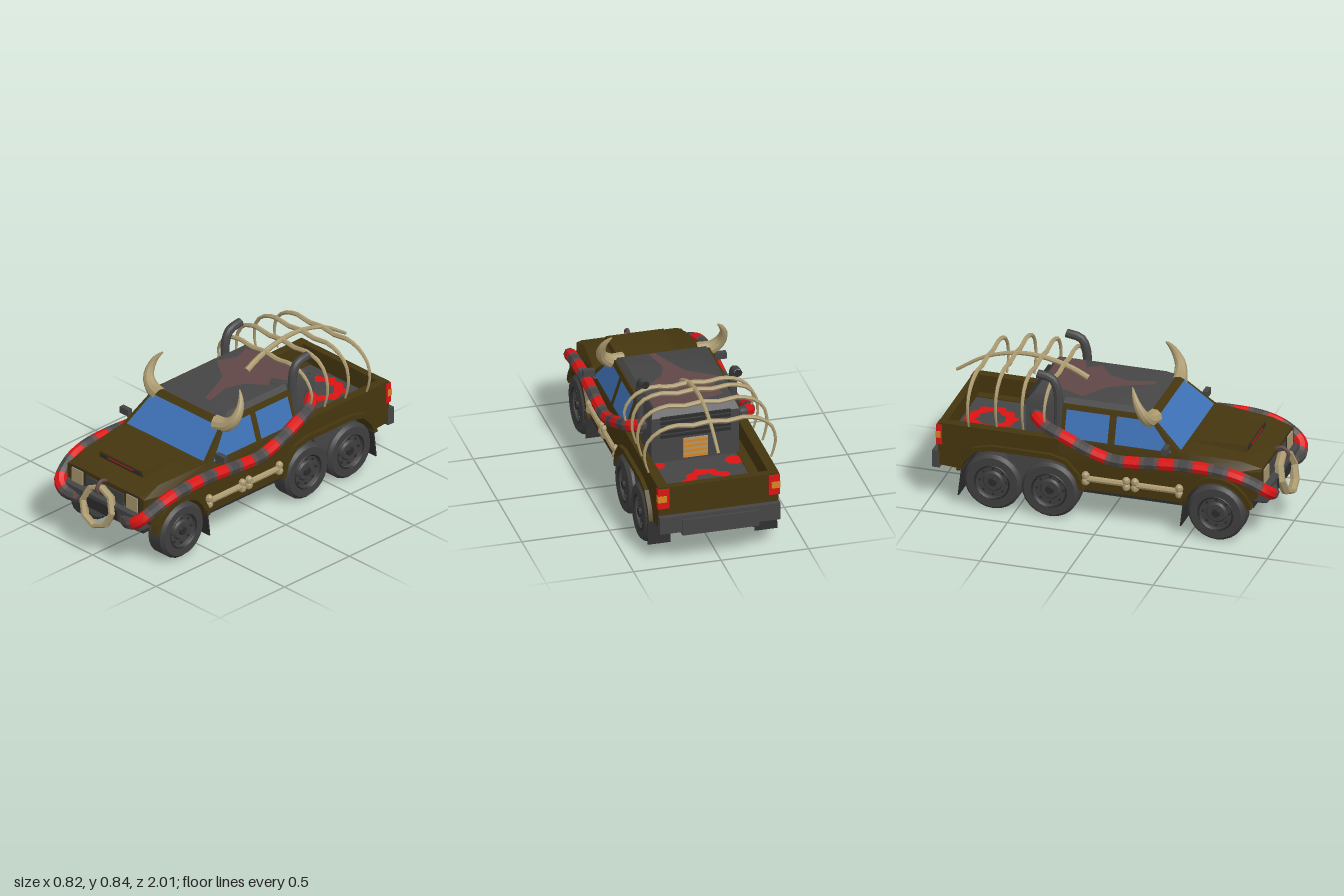
import * as THREE from 'three';
import { toCreasedNormals } from 'three/addons/utils/BufferGeometryUtils.js';

const V = (p) => new THREE.Vector3(...p);
const mat = (name, color, side = THREE.FrontSide) => {
  const m = new THREE.MeshStandardMaterial({ color, side });
  m.name = name;
  return m;
};

export function createModel() {
  const root = new THREE.Group();
  root.name = 'sixWheelTruck';
  const olive = mat('olive paint', 0x45360f), grey = mat('dark grey', 0x454545), black = mat('black', 0x2c2c2c);
  const rubber = mat('rubber', 0x3f3f3f), glass = mat('blue glass', 0x3d70b4, THREE.DoubleSide);
  const red = mat('red', 0xdc1414, THREE.DoubleSide), bone = mat('bone', 0xab9a70);
  const stain = mat('dried stain', 0x604747, THREE.DoubleSide), orange = mat('orange', 0xd88420);

  const add = (name, geo, m) => {
    const mesh = new THREE.Mesh(toCreasedNormals(geo, 0.5), m);
    mesh.name = name;
    root.add(mesh);
    return mesh;
  };
  // Box from its bounds
  const box = (name, m, x0, x1, y0, y1, z0, z1) =>
    add(name, new THREE.BoxGeometry(Math.abs(x1 - x0), y1 - y0, z1 - z0)
      .translate((x0 + x1) / 2, (y0 + y1) / 2, (z0 + z1) / 2), m);
  // Closed solid through equal-length rings of points
  const loft = (name, m, rings) => {
    const out = [], n = rings[0].length;
    const tri = (...ps) => ps.forEach((p) => out.push(...p));
    for (let i = 0; i + 1 < rings.length; i++) for (let j = 0; j < n; j++) {
      const k = (j + 1) % n, A = rings[i], B = rings[i + 1];
      tri(A[j], A[k], B[j]);
      tri(A[k], B[k], B[j]);
    }
    const first = rings[0], last = rings[rings.length - 1];
    for (let j = 1; j + 1 < n; j++) {
      tri(first[0], first[j + 1], first[j]);
      tri(last[0], last[j], last[j + 1]);
    }
    const g = new THREE.BufferGeometry();
    g.setAttribute('position', new THREE.Float32BufferAttribute(out, 3));
    return add(name, g, m);
  };
  // Rectangular ring at height y, for lofts going up
  const level = (y, w, zf, zb) => [[w, y, zf], [w, y, zb], [-w, y, zb], [-w, y, zf]];
  // Flat plate through four corners
  const plate = (name, m, pts) => {
    const g = new THREE.BufferGeometry().setFromPoints([0, 1, 2, 0, 2, 3].map((i) => V(pts[i])));
    return add(name, g, m);
  };
  // Tube with a radius that may vary along the path
  const tubeGeo = (pts, r, n = 12, sides = 8) => {
    const curve = new THREE.CatmullRomCurve3(pts.map(V));
    const g = new THREE.TubeGeometry(curve, n, 1, sides), pos = g.attributes.position;
    for (let i = 0; i < pos.count; i++) {
      const t = Math.floor(i / (sides + 1)) / n, c = curve.getPointAt(t);
      const v = new THREE.Vector3().fromBufferAttribute(pos, i).sub(c);
      v.multiplyScalar(typeof r === 'number' ? r : r(t)).add(c);
      pos.setXYZ(i, v.x, v.y, v.z);
    }
    return g;
  };
  // Side outline in (z, y), extruded from xi to xo on side s
  const sidePanel = (name, m, shape, xi, xo, s) =>
    add(name, new THREE.ExtrudeGeometry(shape, { depth: xo - xi, bevelEnabled: false, curveSegments: 12 })
      .rotateY(-Math.PI / 2).translate(s > 0 ? xo : -xi, 0, 0), m);
  const ground = (name, m, pts, y, hole) => {
    const sh = new THREE.Shape(pts.map(([x, z]) => new THREE.Vector2(x, -z)));
    if (hole) sh.holes.push(new THREE.Path(hole.map(([x, z]) => new THREE.Vector2(x, -z))));
    add(name, new THREE.ShapeGeometry(sh).rotateX(-Math.PI / 2).translate(0, y, 0), m);
  };

  // Chassis and inner body
  box('chassis', black, -0.235, 0.235, 0.165, 0.35, -0.9, 0.84);
  box('nose', olive, -0.29, 0.29, 0.25, 0.37, 0.8, 0.893);
  loft('upperBody', olive, [
    [-0.25, 0.345, 0.475, 0.335], [0.45, 0.345, 0.488, 0.325], [0.78, 0.33, 0.467, 0.29], [0.9, 0.3, 0.43, 0.27],
  ].map(([z, wb, yt, wt]) => [[wb, 0.35, z], [wb, 0.42, z], [wt, yt, z], [-wt, yt, z], [-wb, 0.42, z], [-wb, 0.35, z]]));

  // Hood scoop
  loft('hoodScoop', olive, [[0.45, 0.49], [0.6, 0.502], [0.78, 0.503]].map(([z, y]) =>
    [[0.18, 0.45, z], [0.165, y, z], [-0.165, y, z], [-0.18, 0.45, z]]));
  box('scoopSlot', black, -0.155, 0.155, 0.474, 0.496, 0.778, 0.784);
  box('scoopStain', red, -0.1, 0.1, 0.484, 0.49, 0.78, 0.786);

  // Cab, roof and the box behind it
  loft('cab', olive, [level(0.47, 0.335, 0.46, -0.25), level(0.66, 0.272, 0.25, -0.25)]);
  loft('roof', grey, [level(0.655, 0.265, 0.25, -0.25), level(0.686, 0.235, 0.19, -0.25)]);
  loft('rearBox', grey, [level(0.36, 0.25, -0.2, -0.47), level(0.64, 0.25, -0.2, -0.47), level(0.688, 0.23, -0.2, -0.43)]);
  for (let i = 0; i < 5; i++) box('louver', black, -0.2, 0.2, 0.52 + i * 0.028, 0.534 + i * 0.028, -0.484, -0.468);
  box('boxVent', bone, -0.07, 0.07, 0.38, 0.5, -0.478, -0.469);
  for (let i = 0; i < 4; i++) box('ventBar', orange, -0.07, 0.07, 0.385 + i * 0.03, 0.4 + i * 0.03, -0.481, -0.474);

  // Windows
  const wx = (y) => 0.339 - (y - 0.47) * 0.063 / 0.19, wz = (y) => 0.465 - (y - 0.47) * 0.21 / 0.19;
  plate('windshield', glass, [[-0.302, 0.492, wz(0.492)], [0.302, 0.492, wz(0.492)],
    [0.262, 0.635, wz(0.635)], [-0.262, 0.635, wz(0.635)]]);

  // Front end
  box('grille', grey, -0.147, 0.147, 0.32, 0.403, 0.89, 0.906);
  loft('frontBumper', grey, [level(0.21, 0.25, 0.9, 0.8), level(0.25, 0.315, 0.945, 0.83), level(0.33, 0.315, 0.945, 0.83)]);
  box('bumperInset', black, -0.14, 0.14, 0.25, 0.31, 0.94, 0.95);
  add('boneRing', new THREE.TorusGeometry(0.114, 0.016, 6, 8).scale(1, 1, 1.8).rotateX(-0.25).translate(0, 0.29, 0.958), bone);
  add('ringHook', tubeGeo([[0, 0.37, 0.9], [0, 0.42, 0.89], [0, 0.44, 0.93], [0, 0.41, 0.965], [0, 0.375, 0.96]], 0.011), stain);

  // Bed, tailgate and rear bumper
  box('bedFloor', grey, -0.29, 0.29, 0.335, 0.365, -0.92, -0.25);
  box('tailgate', olive, -0.335, 0.335, 0.22, 0.472, -0.952, -0.91);
  box('rearBumper', grey, -0.345, 0.345, 0.2, 0.3, -0.985, -0.94);
  box('bumperStep', grey, -0.22, 0.22, 0.185, 0.28, -1, -0.96);

  // Wheel arches cut into the lower side outline
  const lower = new THREE.Shape();
  lower.moveTo(0.89, 0.37);
  lower.lineTo(0.89, 0.28);
  lower.lineTo(0.843, 0.24);
  lower.absarc(0.66, 0.165, 0.187, 0.4, Math.PI - 0.15, false);
  [[0.47, 0.19], [-0.13, 0.19], [-0.155, 0.27], [-0.215, 0.34], [-0.3, 0.357], [-0.63, 0.357], [-0.73, 0.335],
    [-0.79, 0.27], [-0.815, 0.21], [-0.95, 0.22], [-0.95, 0.37]].forEach((p) => lower.lineTo(...p));
  const flare = new THREE.Shape();
  flare.absarc(0.66, 0.165, 0.212, 0.25, Math.PI - 0.1, false);
  flare.absarc(0.66, 0.165, 0.182, Math.PI - 0.1, 0.25, true);
  const rearFlare = new THREE.Shape([[-0.105, 0.19], [-0.13, 0.28], [-0.205, 0.362], [-0.3, 0.385], [-0.64, 0.385], [-0.745, 0.358],
    [-0.815, 0.28], [-0.84, 0.21], [-0.815, 0.21], [-0.79, 0.27], [-0.73, 0.335], [-0.63, 0.357], [-0.3, 0.357], [-0.215, 0.34],
    [-0.155, 0.27], [-0.13, 0.19]].map((p) => new THREE.Vector2(...p)));
  const between = new THREE.Shape([[-0.36, 0.355], [-0.57, 0.355], [-0.465, 0.16]].map((p) => new THREE.Vector2(...p)));

  // One wheel: tyre with a recessed rim, dark ring, hub and lugs
  const wheel = (s, z) => {
    const profile = [[0, -0.063], [0.145, -0.063], [0.165, -0.045], [0.165, 0.045], [0.148, 0.064], [0.105, 0.064],
      [0.095, 0.04], [0.06, 0.04], [0.05, 0.052], [0, 0.052]].map((p) => new THREE.Vector2(...p));
    const put = (name, g, m) => add(name, g.rotateZ(-s * Math.PI / 2).translate(s * 0.306, 0.165, z), m);
    put('wheel', new THREE.LatheGeometry(profile, 24), rubber);
    put('rimRing', new THREE.TorusGeometry(0.1, 0.007, 4, 24).rotateX(Math.PI / 2).translate(0, 0.06, 0), black);
    put('hub', new THREE.CylinderGeometry(0.022, 0.028, 0.02, 10).translate(0, 0.056, 0), black);
    for (let i = 0; i < 8; i++) {
      const a = i * Math.PI / 4;
      put('lug', new THREE.CylinderGeometry(0.008, 0.008, 0.012, 6).translate(0.077 * Math.cos(a), 0.043, 0.077 * Math.sin(a)), black);
    }
  };

  for (const s of [1, -1]) {
    const m = (pts) => pts.map(([x, y, z]) => [s * x, y, z]);
    sidePanel('lowerSide', olive, lower, 0.235, 0.343, s);
    sidePanel('frontFlare', olive, flare, 0.32, 0.365, s);
    sidePanel('rearFlare', olive, rearFlare, 0.32, 0.368, s);
    sidePanel('wheelWell', grey, between, 0.23, 0.335, s);
    box('bedSide', olive, s * 0.29, s * 0.345, 0.36, 0.475, -0.95, -0.25);
    box('sill', black, s * 0.22, s * 0.335, 0.17, 0.2, -0.12, 0.47);
    [0.66, -0.3, -0.63].forEach((z) => wheel(s, z));
    for (const z of [0.468, -0.815]) {
      const flap = box('mudFlap', black, -0.065, 0.065, -0.08, 0.08, -0.004, 0.004);
      flap.position.set(s * 0.305, 0.14, z);
      flap.rotation.x = 0.12;
    }

    // Side windows, mirrors and lights
    [[[0.395, 0.485], [0.065, 0.485], [0.065, 0.635], [0.262, 0.635]], [[0.025, 0.485], [-0.225, 0.485], [-0.225, 0.635], [0.025, 0.635]]]
      .forEach((w) => plate('sideWindow', glass, m(w.map(([z, y]) => [wx(y), y, z]))));
    box('mirror', grey, s * 0.342, s * 0.41, 0.498, 0.536, 0.36, 0.39);
    add('mirrorArm', tubeGeo(m([[0.31, 0.47, 0.37], [0.345, 0.48, 0.375], [0.37, 0.51, 0.375]]), 0.008, 6, 6), grey);
    box('headlightFrame', black, s * 0.165, s * 0.265, 0.325, 0.424, 0.89, 0.902);
    box('headlight', bone, s * 0.172, s * 0.258, 0.332, 0.417, 0.89, 0.909);
    box('bumperPocket', black, s * 0.17, s * 0.28, 0.25, 0.3, 0.94, 0.948);
    box('tailLight', red, s * 0.285, s * 0.349, 0.345, 0.465, -0.96, -0.925);
    box('turnLight', orange, s * 0.3, s * 0.351, 0.385, 0.425, -0.963, -0.935);

    // Horns and exhaust stacks
    add('horn', tubeGeo(m([[0.22, 0.628, 0.26], [0.29, 0.643, 0.25], [0.34, 0.69, 0.235], [0.348, 0.75, 0.205],
      [0.33, 0.8, 0.18], [0.3, 0.835, 0.16]]), (t) => 0.046 * (1 - t) ** 0.8 + 0.003, 12, 10), bone);
    add('exhaustStack', tubeGeo(m([[0.265, 0.47, -0.28], [0.265, 0.6, -0.28], [0.265, 0.74, -0.285], [0.265, 0.8, -0.315],
      [0.265, 0.82, -0.4]]), 0.025, 14, 10), grey);
    add('stackMouth', new THREE.CircleGeometry(0.024, 10).rotateY(Math.PI).translate(s * 0.265, 0.82, -0.398), black);

    // Banded side tube
    const path = m([[0.18, 0.27, 0.925], [0.25, 0.28, 0.955], [0.315, 0.32, 0.94], [0.35, 0.38, 0.85], [0.365, 0.42, 0.72],
      [0.368, 0.432, 0.5], [0.368, 0.408, 0.18], [0.368, 0.405, 0.08], [0.368, 0.44, -0.06], [0.365, 0.5, -0.2],
      [0.34, 0.55, -0.34], [0.29, 0.575, -0.4]]);
    const bands = tubeGeo(path, 0.036, 56);
    for (let i = 0; i < 56; i++) bands.addGroup(i * 48, 48, [0, 0, 0, 1, 2, 2, 1][(i + 3) % 7]);
    add('sideTube', bands, [red, stain, grey]);
    [path[0], path[path.length - 1]].forEach((p) => add('tubeEnd', new THREE.SphereGeometry(0.036, 8, 6).translate(...p), grey));

    // Bones along the sill
    for (const [z0, z1] of [[0.19, 0.445], [-0.095, 0.14]]) {
      add('sillBone', new THREE.CylinderGeometry(0.018, 0.018, z1 - z0, 8).rotateX(Math.PI / 2)
        .translate(s * 0.35, 0.262, (z0 + z1) / 2), bone);
      for (const z of [z0, z1]) for (const d of [-0.018, 0.018])
        add('boneKnob', new THREE.SphereGeometry(0.024, 8, 6).translate(s * 0.35, 0.262 + d, z), bone);
    }
  }

  // Rib cage over the bed
  add('spine', tubeGeo([[0, 0.7, -0.19], [0, 0.745, -0.28], [0, 0.785, -0.42], [0, 0.795, -0.58], [0, 0.745, -0.78],
    [0, 0.64, -0.95]], (t) => 0.017 - 0.008 * t, 16), bone);
  for (const [z, y, w, end] of [[-0.33, 0.765, 0.37, 0.55], [-0.46, 0.79, 0.36, 0.5], [-0.61, 0.79, 0.37, 0.5], [-0.77, 0.75, 0.375, 0.48]]) {
    const half = [[0.1, y - 0.012], [0.2, y], [0.3, y - 0.03], [w - 0.015, y - 0.09], [w, (y - 0.09 + end) / 2], [w - 0.025, end]];
    const pts = [...half.map(([x, h]) => [-x, h, z]).reverse(), [0, y, z], ...half.map(([x, h]) => [x, h, z])];
    add('rib', tubeGeo(pts, (t) => 0.006 + 0.008 * Math.sin(Math.PI * t), 24, 6), bone);
  }

  // Stains on the roof and bed floor
  ground('roofStain', stain, [[-0.19, -0.37], [0, -0.42], [0.22, -0.43], [0.22, -0.28], [0.14, -0.24], [0.19, -0.17], [0.09, -0.09],
    [0.05, 0.02], [0.09, 0.18], [0.05, 0.18], [0, 0.06], [-0.06, -0.06], [-0.21, -0.16], [-0.16, -0.27]], 0.691);
  const blob = (cx, cz, r, k) => Array.from({ length: 28 }, (_, i) => {
    const a = i / 28 * Math.PI * 2, q = r * (1 + 0.1 * Math.sin(i * k) + 0.05 * Math.cos(i * 5.3));
    return [cx + q * Math.cos(a), cz + q * Math.sin(a)];
  });
  ground('bedStainRing', red, blob(0, -0.75, 0.14, 2.3), 0.368, blob(0, -0.75, 0.08, 1.7));
  ground('bedStain', red, blob(-0.2, -0.55, 0.05, 1.9), 0.368);
  ground('bedStain', red, blob(0.22, -0.51, 0.035, 2.7), 0.368);
  return root;
}
